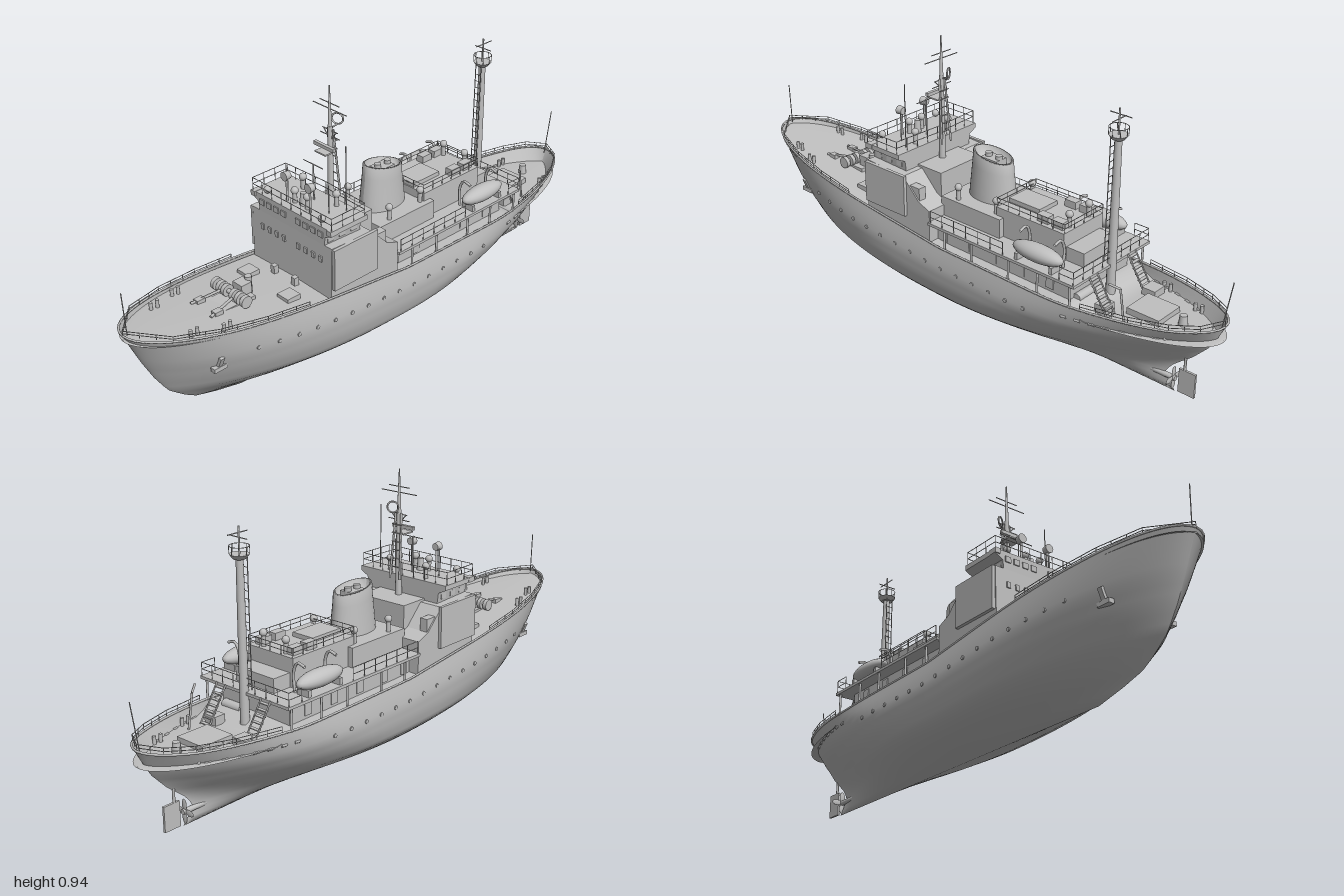
import * as THREE from 'three';

export function createModel() {
  const ship = new THREE.Group();
  ship.name = 'ship';
  const grey = new THREE.MeshStandardMaterial({ color: 0xc0c0c0, side: THREE.DoubleSide });
  grey.name = 'ship grey';

  // ---- helpers ----
  const V = (x, y, z) => new THREE.Vector3(x, y, z);
  const add = (name, geo, x = 0, y = 0, z = 0) => {
    const m = new THREE.Mesh(geo, grey);
    m.name = name;
    m.position.set(x, y, z);
    ship.add(m);
    return m;
  };
  // box given by its centre in x and z, and its bottom and top
  const box = (name, x, z, w, d, y0, y1) => add(name, new THREE.BoxGeometry(w, y1 - y0, d), x, (y0 + y1) / 2, z);
  const post = (name, x, z, r, y0, y1, r2 = r, n = 12) => add(name, new THREE.CylinderGeometry(r2, r, y1 - y0, n), x, (y0 + y1) / 2, z);
  const rod = (name, a, b, r = 0.0018, n = 5) => {
    const d = b.clone().sub(a);
    const m = add(name, new THREE.CylinderGeometry(r, r, d.length(), n));
    m.position.copy(a).add(b).multiplyScalar(0.5);
    m.quaternion.setFromUnitVectors(V(0, 1, 0), d.normalize());
    return m;
  };
  const railing = (name, pts, h = 0.045) => {
    for (let i = 0; i < pts.length - 1; i++) {
      for (const k of [0.5, 1]) rod(name, pts[i].clone().setY(pts[i].y + h * k), pts[i + 1].clone().setY(pts[i + 1].y + h * k), 0.0013);
      const n = Math.max(1, Math.round(pts[i].distanceTo(pts[i + 1]) / 0.05));
      for (let j = 0; j <= n; j++) {
        const p = pts[i].clone().lerp(pts[i + 1], j / n);
        rod(name, p, p.clone().setY(p.y + h), 0.0013);
      }
    }
  };
  const both = f => [1, -1].forEach(f);
  const interp = (xs, ys, t) => {
    let i = 0;
    while (i < xs.length - 2 && t > xs[i + 1]) i++;
    const k = Math.min(1, Math.max(0, (t - xs[i]) / (xs[i + 1] - xs[i])));
    return ys[i] + (ys[i + 1] - ys[i]) * k;
  };
  const extrude = (pts, depth) => new THREE.ExtrudeGeometry(
    new THREE.Shape(pts.map(p => new THREE.Vector2(...p))), { depth, bevelEnabled: false });
  const gridMesh = (name, rows, cols, f) => {
    const pos = [], idx = [];
    for (let i = 0; i <= rows; i++) for (let j = 0; j <= cols; j++) {
      pos.push(...f(i, j));
      if (i < rows && j < cols) {
        const a = i * (cols + 1) + j, b = a + cols + 1;
        idx.push(a, a + 1, b, b, a + 1, b + 1);
      }
    }
    const g = new THREE.BufferGeometry();
    g.setAttribute('position', new THREE.Float32BufferAttribute(pos, 3));
    g.setIndex(idx);
    g.computeVertexNormals();
    return add(name, g);
  };

  // ---- hull: v runs from keel (0) to rail (1), u from stern (0) to bow (1) ----
  const level = [0, 0.06, 0.12, 0.2, 0.32, 0.5, 0.7, 0.85, 1];
  const beam = [0, 0.055, 0.105, 0.152, 0.186, 0.201, 0.209, 0.205, 0.198];
  const stem = [0.58, 0.68, 0.76, 0.81, 0.865, 0.91, 0.95, 0.975, 1];
  const stern = [-0.83, -0.815, -0.8, -0.79, -0.82, -0.885, -0.94, -0.965, -0.983];
  const rail = z => interp([-1, -0.85, -0.5, 0, 0.34, 0.7, 1], [0.305, 0.292, 0.278, 0.287, 0.325, 0.365, 0.405], z);
  const hullPoint = (u, v) => {
    const z0 = interp(level, stern, v), z1 = interp(level, stem, v);
    const z = z0 + (z1 - z0) * u;
    const zTop = -0.983 + 1.983 * u;
    const taper = (d, len, p, q) => Math.pow(1 - Math.pow(1 - Math.min(1, Math.max(0, d) / len), p), q);
    const w = interp(level, beam, v) * taper(z1 - z, 0.75, 2 + 0.6 * v, 1 - 0.5 * v)
      * taper(z - z0, 0.85 - 0.25 * v, 2, 1.5 - v);
    return [w, 0.004 + v * (rail(zTop) - 0.004), z];
  };
  const N = 56, spread = i => 0.5 - 0.5 * Math.cos(Math.PI * i / N);
  gridMesh('hull', N, 32, (i, j) => {
    const s = (j - 16) / 16, p = hullPoint(spread(i), Math.abs(s));
    return [p[0] * Math.sign(s), p[1], p[2]];
  });

  // decks inside the bulwark, stepping down near the stern
  const deckY = z => interp([-1, -0.58, -0.56, 0, 0.34, 1], [0.25, 0.24, 0.272, 0.278, 0.312, 0.385], z);
  gridMesh('deck', 80, 2, (i, j) => {
    const p = hullPoint(0.5 - 0.5 * Math.cos(Math.PI * i / 80), 1);
    return [p[0] * 0.985 * (1 - j), deckY(p[2]) + (j === 1 ? 0.006 : 0), p[2]];
  });
  both(s => {
    const edge = [];
    for (let i = 0; i <= N; i++) { const p = hullPoint(spread(i), 1); edge.push(V(p[0] * s, p[1], p[2])); }
    add('railCap', new THREE.TubeGeometry(new THREE.CatmullRomCurve3(edge), 90, 0.004, 5));
    railing('bowRailing', [0.72, 0.8, 0.88, 0.95, 1].map(u => { const p = hullPoint(u, 1); return V(p[0] * s, p[1], p[2]); }), 0.018);
    railing('sternRailing', [0, 0.02, 0.06, 0.12, 0.2].map(u => { const p = hullPoint(u, 1); return V(p[0] * s, p[1], p[2]); }), 0.022);
    // portholes and freeing ports lying on the side
    for (let k = 0; k < 15; k++) {
      const p = hullPoint(0.3 + k * 0.038, 0.74);
      add('porthole', new THREE.CylinderGeometry(0.007, 0.007, 0.006, 10), p[0] * s, p[1], p[2]).rotation.z = Math.PI / 2;
    }
    for (let k = 0; k < 7; k++) {
      const p = hullPoint(0.07 + k * 0.025, 0.84), q = hullPoint(0.08 + k * 0.025, 0.84);
      rod('freeingPort', V(p[0] * s, p[1], p[2]), V(q[0] * s, q[1], q[2]), 0.005, 4);
    }
    // anchor in its hawse
    const a = hullPoint(0.9, 0.66);
    const anchor = box('anchor', a[0] * s, a[2], 0.014, 0.016, a[1] - 0.025, a[1] + 0.025);
    anchor.rotation.z = -s * 0.4;
    box('anchorFlukes', a[0] * s * 0.95, a[2], 0.02, 0.05, a[1] - 0.03, a[1] - 0.015);
  });

  // rudder and propeller
  box('rudder', 0, -0.872, 0.008, 0.06, 0.01, 0.095);
  rod('rudderStock', V(0, 0.09, -0.86), V(0, 0.17, -0.86), 0.005);
  rod('propellerShaft', V(0, 0.05, -0.74), V(0, 0.05, -0.83), 0.009, 10);
  for (let k = 0; k < 4; k++) {
    const b = add('propellerBlade', new THREE.SphereGeometry(0.02, 10, 6), 0.022 * Math.cos(k * Math.PI / 2), 0.05 + 0.022 * Math.sin(k * Math.PI / 2), -0.822);
    b.scale.set(1, 0.55, 0.12);
    b.rotation.set(0, 0, k * Math.PI / 2);
  }

  // ---- superstructure ----
  box('mainDeckhouse', 0, -0.21, 0.3, 0.62, 0.27, 0.36);
  box('boatDeck', 0, -0.26, 0.396, 0.62, 0.352, 0.362);
  const house = add('accommodationBlock', extrude([[-0.35, 0.28], [-0.345, 0.5], [-0.17, 0.492], [-0.1, 0.42], [-0.05, 0.4], [-0.05, 0.28]], 0.38), -0.19);
  house.rotation.y = Math.PI / 2;
  house.position.set(-0.19, 0, 0);
  const wing = [[0.19, 0.562], [0.19, 0.545], [0.16, 0.53], [0.155, 0.49]];
  add('bridge', extrude([...wing, ...wing.map(([x, y]) => [-x, y]).reverse()], 0.155), 0, 0, 0.19);
  box('chartroom', 0, 0.14, 0.2, 0.12, 0.4, 0.5);
  both(s => {
    // flared side screen of the accommodation block
    box('sideScreen', s * 0.197, 0.25, 0.012, 0.19, 0.35, 0.498);
    box('sideLocker', s * 0.17, 0.13, 0.03, 0.06, 0.41, 0.465);
    box('sideLampBox', s * 0.182, 0.335, 0.02, 0.03, 0.545, 0.563);
    for (const z of [-0.02, -0.14, -0.3, -0.42, -0.55]) post('deckPillar', s * 0.19, z, 0.004, 0.275, 0.355);
    for (const z of [0.22, 0.27, 0.32]) box('sideWindow', s * 0.1575, z, 0.004, 0.025, 0.505, 0.525);
    // front windows
    for (const x of [0.035, 0.07, 0.105, 0.14]) {
      box('bridgeWindow', s * x, 0.346, 0.022, 0.006, 0.525, 0.545);
      box('cabinWindow', s * x, 0.347, 0.014, 0.008, 0.435, 0.455);
    }
    for (const z of [0.02, -0.08, -0.2, -0.32, -0.44]) box('deckhouseDoor', s * 0.151, z, 0.004, 0.03, 0.285, 0.345);
    railing('bridgeRailing', [V(0, 0.562, 0.343), V(s * 0.188, 0.562, 0.343), V(s * 0.188, 0.562, 0.2), V(0, 0.562, 0.192)]);
    railing('boatDeckRailing', [V(s * 0.195, 0.362, 0.04), V(s * 0.195, 0.362, -0.28)]);
    railing('boatDeckRailing', [V(s * 0.195, 0.362, -0.51), V(s * 0.195, 0.362, -0.565), V(0, 0.362, -0.565)]);
    railing('aftHouseRailing', [V(0, 0.462, -0.17), V(s * 0.097, 0.462, -0.17), V(s * 0.097, 0.462, -0.45), V(0, 0.462, -0.45)], 0.03);
    // lifeboat on its davits
    const boat = add('lifeboat', new THREE.SphereGeometry(1, 20, 12), s * 0.165, 0.402, -0.4);
    boat.scale.set(0.034, 0.03, 0.1);
    rod('lifeboatKeel', V(s * 0.165, 0.373, -0.45), V(s * 0.165, 0.373, -0.35), 0.004);
    for (const z of [-0.47, -0.33]) {
      add('davit', new THREE.TubeGeometry(new THREE.CatmullRomCurve3([V(s * 0.125, 0.362, z), V(s * 0.122, 0.43, z), V(s * 0.14, 0.462, z), V(s * 0.17, 0.455, z)]), 10, 0.005, 6));
      box('boatCradle', s * 0.165, z, 0.05, 0.012, 0.362, 0.385);
    }
    // stairs up to the boat deck from the after well
    for (let k = 0; k < 7; k++) box('stairTread', s * 0.1, -0.64 + k * 0.011, 0.04, 0.012, 0.246 + k * 0.017, 0.249 + k * 0.017);
    for (const x of [0.08, 0.12]) rod('stairStringer', V(s * x, 0.24, -0.645), V(s * x, 0.362, -0.568), 0.003);
  });

  // funnel on its casing
  box('funnelCasing', 0, -0.07, 0.24, 0.26, 0.36, 0.43);
  const funnelProfile = [[0.062, 0], [0.06, 0.03], [0.054, 0.11], [0.052, 0.15], [0.046, 0.152], [0.044, 0.12], [0, 0.12]];
  const funnelGeo = new THREE.LatheGeometry(funnelProfile.map(p => new THREE.Vector2(...p)), 28);
  funnelGeo.scale(1, 1, 1.5);
  const fp = funnelGeo.attributes.position;
  for (let i = 0; i < fp.count; i++) fp.setY(i, fp.getY(i) * (1 + fp.getZ(i) * 1.1)); // top slopes down aft
  funnelGeo.computeVertexNormals();
  add('funnel', funnelGeo, 0, 0.43, -0.066);
  box('exhaustHousing', 0, -0.066, 0.05, 0.07, 0.54, 0.572);
  for (const z of [-0.09, -0.045]) post('exhaustPipe', 0, z, 0.012, 0.56, 0.585);

  // after house with its roof gear
  box('afterHouse', 0, -0.31, 0.2, 0.28, 0.36, 0.46);
  box('afterHouseStep', 0, -0.48, 0.17, 0.08, 0.36, 0.41);
  box('skylight', 0, -0.24, 0.09, 0.13, 0.46, 0.475);
  both(s => {
    for (const z of [-0.41, -0.35]) box('roofLocker', s * 0.07, z, 0.03, 0.045, 0.46, 0.485);
    for (const [x, z, y] of [[0.1, 0.0, 0.43], [0.09, -0.16, 0.43], [0.05, -0.43, 0.46], [0.03, 0.3, 0.56], [0.08, 0.22, 0.56]]) {
      post('ventPipe', s * x, z, 0.008, y, y + 0.04);
      add('ventCowl', new THREE.SphereGeometry(0.013, 12, 8), s * x, y + 0.045, z);
    }
    // searchlights and lamps on the bridge roof
    post('searchlightPole', s * 0.055, 0.31, 0.004, 0.56, 0.64);
    add('searchlight', new THREE.CylinderGeometry(0.016, 0.013, 0.022, 16), s * 0.057, 0.652, 0.31).rotation.x = Math.PI / 2;
    add('roofLamp', new THREE.SphereGeometry(0.013, 12, 8), s * 0.13, 0.58, 0.33);
    post('lampPole', s * 0.098, 0.27, 0.002, 0.56, 0.66);
  });
  post('compassStand', 0, 0.29, 0.014, 0.56, 0.605, 0.01);
  rod('whipAntenna', V(0.125, 0.56, 0.22), V(0.125, 0.79, 0.22));
  rod('signalPole', V(0, 0.56, 0.245), V(0, 0.69, 0.245), 0.003);
  rod('signalYard', V(-0.045, 0.69, 0.245), V(0.045, 0.69, 0.245));

  // ---- fore mast ----
  post('foreMast', 0, 0.17, 0.012, 0.5, 0.8, 0.008);
  post('foreTopmast', 0, 0.17, 0.007, 0.8, 0.94, 0.002);
  both(s => {
    rod('mastLeg', V(s * 0.022, 0.56, 0.15), V(s * 0.012, 0.79, 0.168), 0.004);
    rod('mastStrut', V(s * 0.03, 0.785, 0.17), V(0, 0.75, 0.17), 0.002);
  });
  for (let y = 0.6; y < 0.78; y += 0.03) rod('mastRung', V(-0.02, y, 0.157), V(0.02, y, 0.157));
  for (const [y, w] of [[0.86, 0.077], [0.88, 0.045], [0.785, 0.035], [0.765, 0.045]]) rod('mastYard', V(-w, y, 0.17), V(w, y, 0.17));
  box('radarPlatform', 0, 0.19, 0.05, 0.05, 0.715, 0.72);
  box('radarScanner', 0, 0.195, 0.092, 0.012, 0.73, 0.742);
  add('directionLoop', new THREE.TorusGeometry(0.019, 0.003, 8, 24), 0, 0.815, 0.137).rotation.y = 0.5;
  rod('loopBracket', V(0, 0.79, 0.17), V(0, 0.796, 0.137), 0.003);

  // ---- after mast ----
  post('afterMast', 0, -0.565, 0.016, 0.24, 0.8, 0.012);
  post('mastPlatform', 0, -0.565, 0.02, 0.785, 0.8, 0.032);
  for (let k = 0; k < 8; k++) post('platformRail', 0.031 * Math.cos(k * 0.785), -0.565 + 0.031 * Math.sin(k * 0.785), 0.0013, 0.8, 0.825, 0.0013, 5);
  add('platformHandrail', new THREE.TorusGeometry(0.031, 0.0013, 5, 20), 0, 0.825, -0.565).rotation.x = Math.PI / 2;
  post('afterTopmast', 0, -0.565, 0.003, 0.8, 0.885);
  rod('afterYard', V(-0.035, 0.85, -0.565), V(0.035, 0.85, -0.565));
  rod('afterYard', V(0, 0.865, -0.61), V(0, 0.865, -0.53));
  for (const x of [-0.012, 0.012]) rod('mastLadder', V(x, 0.36, -0.543), V(x, 0.79, -0.545));
  for (let y = 0.38; y < 0.78; y += 0.025) rod('ladderRung', V(-0.012, y, -0.544), V(0.012, y, -0.544), 0.0012);

  // ---- fore deck: windlass, hatches, bollards ----
  box('windlassBed', 0, 0.6, 0.09, 0.12, 0.335, 0.352);
  rod('windlassShaft', V(-0.075, 0.37, 0.6), V(0.075, 0.37, 0.6), 0.008, 10);
  both(s => {
    for (const x of [0.02, 0.045, 0.072]) rod('windlassDrum', V(s * (x - 0.007), 0.37, 0.6), V(s * (x + 0.007), 0.37, 0.6), 0.021, 14);
    rod('anchorChain', V(s * 0.03, 0.372, 0.62), V(s * 0.05, 0.36, 0.72), 0.005);
    box('chainStopper', s * 0.045, 0.69, 0.022, 0.03, 0.345, 0.368);
    box('foreHatch', s * 0.1, 0.45, 0.052, 0.052, 0.315, 0.342);
    for (const [x, z] of [[0.13, 0.72], [0.1, 0.82], [0.15, -0.68], [0.1, -0.83]]) {
      for (const d of [-0.012, 0.012]) post('bollard', s * x, z + d, 0.006, deckY(z), deckY(z) + 0.028);
    }
    box('deckVent', s * 0.05, 0.38, 0.018, 0.018, 0.315, 0.35);
  });
  box('windlassMotor', 0, 0.555, 0.045, 0.04, 0.345, 0.39);
  post('windlassBrake', 0, 0.53, 0.012, 0.33, 0.4);
  rod('bowStaff', V(0, 0.4, 0.985), V(0, 0.55, 0.99));

  // ---- after deck ----
  box('aftHatch', 0, -0.73, 0.115, 0.12, 0.24, 0.268);
  post('capstan', 0, -0.84, 0.016, 0.245, 0.285, 0.012);
  box('deckLocker', -0.1, -0.66, 0.055, 0.05, 0.24, 0.27);
  box('winch', 0.09, -0.61, 0.05, 0.04, 0.24, 0.275);
  rod('winchDrum', V(0.05, 0.275, -0.53), V(0.13, 0.275, -0.53), 0.016, 12);
  rod('sternDavit', V(0.11, 0.24, -0.7), V(0.11, 0.36, -0.68), 0.004);
  rod('sternDavit', V(0.11, 0.36, -0.68), V(0.13, 0.375, -0.65), 0.004);
  rod('ensignStaff', V(0, 0.29, -0.972), V(0, 0.46, -0.998));
  return ship;
}
